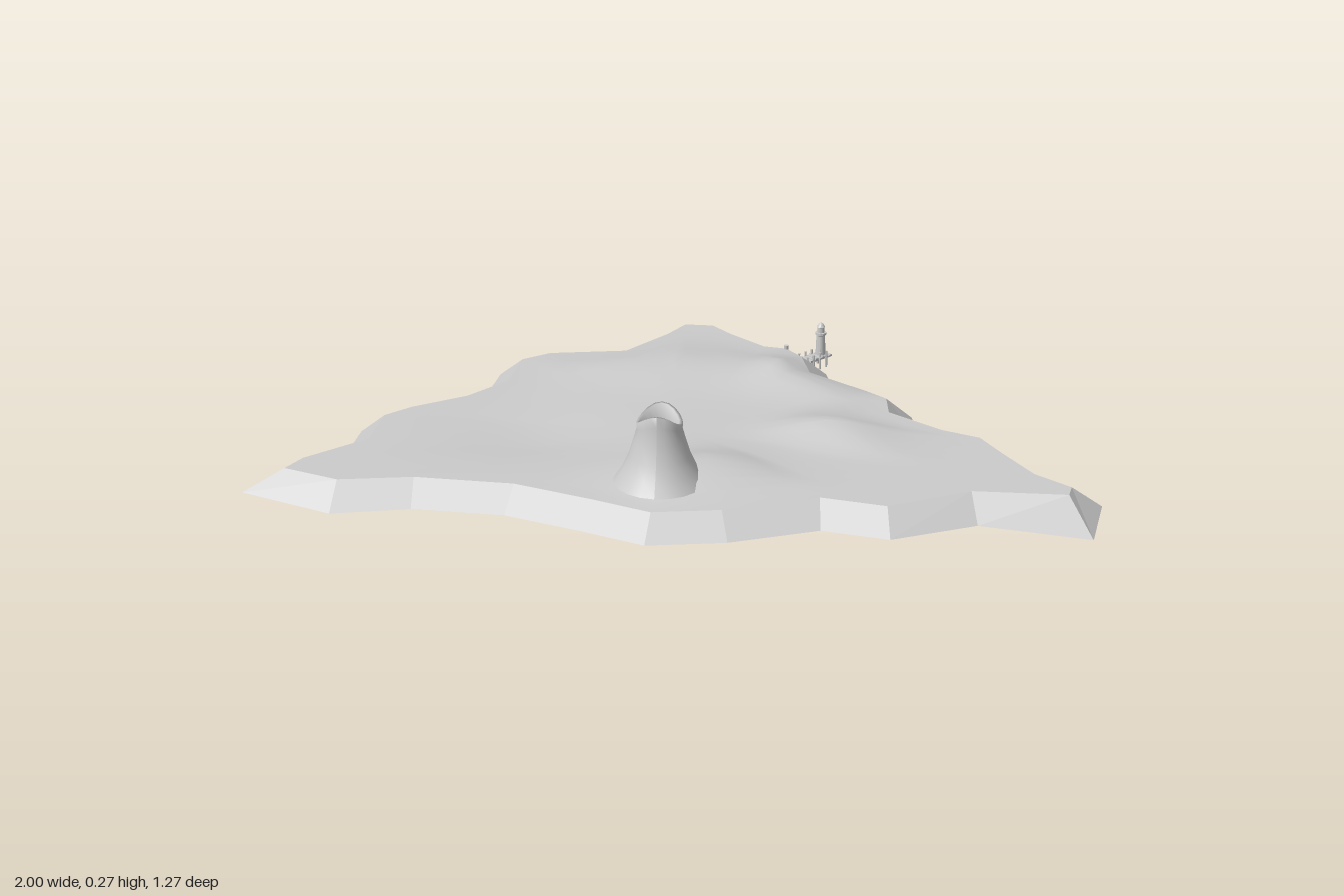
import * as THREE from 'three';

const mat = new THREE.MeshStandardMaterial({ color: 0xcccccc, side: THREE.DoubleSide });
const flatMat = new THREE.MeshStandardMaterial({ color: 0xcccccc, side: THREE.DoubleSide, flatShading: true });

// Shoreline: x, z, and height of the waterline edge
const shore = [
  [-0.11, -0.64, 0.03], [0.03, -0.64, 0.03], [0.1, -0.57, 0.02], [0.175, -0.51, 0.02],
  [0.24, -0.5, 0.02], [0.31, -0.42, 0.02], [0.335, -0.33, 0.02], [0.465, -0.24, 0.02],
  [0.54, -0.18, 0.015], [0.55, -0.1, 0.01], [0.65, -0.03, 0.015], [0.755, 0.01, 0.02],
  [0.82, 0.11, 0.015], [0.89, 0.21, 0.02], [1, 0.29, 0.02], [0.98, 0.43, 0],
  [0.715, 0.435, 0.025], [0.52, 0.54, 0.03], [0.36, 0.51, 0.03], [0.155, 0.595, 0.03],
  [-0.03, 0.63, 0.03], [-0.19, 0.57, 0.03], [-0.37, 0.51, 0.03], [-0.59, 0.5, 0.03],
  [-0.775, 0.535, 0.025], [-1, 0.455, 0.03], [-0.93, 0.315, 0.025], [-0.81, 0.2, 0.02],
  [-0.8, 0.06, 0.02], [-0.72, -0.02, 0.015], [-0.6, -0.1, 0.02], [-0.535, -0.18, 0.02],
  [-0.52, -0.33, 0.02], [-0.42, -0.405, 0.025], [-0.24, -0.44, 0.025], [-0.165, -0.54, 0.03],
].map(([x, z, y]) => new THREE.Vector3(x, y, z));

// Hills: x, z, height, radius in x, radius in z
const hills = [
  [0.08, 0.37, 0.055, 0.13, 0.12], [0.36, 0.08, 0.038, 0.12, 0.09],
  [0.27, -0.26, 0.042, 0.13, 0.12], [-0.1, -0.28, 0.025, 0.25, 0.12],
  [-0.35, 0.15, -0.015, 0.2, 0.15],
];
const hillHeight = (x, z) => hills.reduce((sum, [hx, hz, h, rx, rz]) =>
  sum + h * Math.exp(-(((x - hx) / rx) ** 2) - ((z - hz) / rz) ** 2), 0);

// Top edge of the bank: the shoreline moved inward
function insetLoop(loop, d) {
  const n = loop.length;
  const normal = (a, b) => new THREE.Vector3(b.z - a.z, 0, a.x - b.x).normalize();
  return loop.map((p, i) => {
    const n1 = normal(loop[(i + n - 1) % n], p), n2 = normal(p, loop[(i + 1) % n]);
    const k = d / Math.max(0.8, 1 + n1.dot(n2));
    return new THREE.Vector3(p.x, 0.08, p.z).addScaledVector(n1.add(n2), -k);
  });
}

// Skin joining a list of closed loops, facing up and outward
function loft(loops) {
  const n = loops[0].length, index = [];
  for (let r = 0; r + 1 < loops.length; r++) {
    for (let i = 0; i < n; i++) {
      const a = r * n + i, b = r * n + ((i + 1) % n);
      index.push(a, a + n, b, b, a + n, b + n);
    }
  }
  const geo = new THREE.BufferGeometry().setFromPoints(loops.flat());
  geo.setIndex(index);
  geo.computeVertexNormals();
  return geo;
}

function add(parent, name, geo, x = 0, y = 0, z = 0, material = mat) {
  const mesh = new THREE.Mesh(geo, material);
  mesh.name = name;
  mesh.position.set(x, y, z);
  parent.add(mesh);
  return mesh;
}

function createIsland() {
  const island = new THREE.Group();
  island.name = 'island';
  const edge = insetLoop(shore, 0.068);
  add(island, 'bank', loft([shore, edge]), 0, 0, 0, flatMat);

  const rings = [], count = 14;
  for (let r = 0; r <= count; r++) {
    const t = r / count;
    rings.push(edge.map((p) => {
      const x = p.x * (1 - t), z = p.z + (0.1 - p.z) * t;
      return new THREE.Vector3(x, 0.08 + hillHeight(x, z) * Math.min(1, t * 5), z);
    }));
  }
  add(island, 'ground', loft(rings));
  return island;
}

function createVolcano() {
  const profile = [[0.108, 0.095], [0.088, 0.125], [0.072, 0.16], [0.06, 0.2], [0.053, 0.235],
    [0.054, 0.255], [0.046, 0.255], [0.04, 0.225], [0.034, 0.19], [0, 0.185]];
  const geo = new THREE.LatheGeometry(profile.map(([r, y]) => new THREE.Vector2(r, y)), 20);
  // The crater lip rises toward front and back
  const pos = geo.attributes.position;
  for (let i = 0; i < pos.count; i++) {
    const x = pos.getX(i), y = pos.getY(i), z = pos.getZ(i);
    const lift = Math.max(0, (y - 0.2) / 0.055);
    pos.setY(i, y + lift * (0.016 * Math.cos(2 * Math.atan2(x, z)) + 0.05 * z));
  }
  geo.computeVertexNormals();
  const volcano = add(new THREE.Group(), 'volcano', geo, -0.02, 0, 0.415);
  return volcano;
}

function createJetty() {
  const jetty = new THREE.Group();
  jetty.name = 'jetty';
  // Planks run out along local z, with a pile at both ends of every other plank
  for (let i = 0; i < 10; i++) {
    const z = -0.05 + i * 0.011;
    const width = i % 3 === 0 ? 0.042 : 0.034;
    add(jetty, 'plank', new THREE.BoxGeometry(width, 0.005, 0.008), 0, 0.045, z);
    if (i % 2) continue;
    for (const side of [-1, 1]) {
      add(jetty, 'pile', new THREE.CylinderGeometry(0.003, 0.003, 0.045, 6), side * 0.016, 0.037, z);
    }
  }
  for (const side of [-1, 1]) {
    add(jetty, 'beam', new THREE.BoxGeometry(0.004, 0.005, 0.11), side * 0.011, 0.04, 0);
  }
  jetty.position.set(0.268, 0, -0.466);
  jetty.rotation.y = Math.atan2(0.075, -0.08);
  return jetty;
}

function createLighthouse() {
  const profile = [[0, 0.045], [0.013, 0.045], [0.011, 0.1], [0.014, 0.102], [0.014, 0.108],
    [0.009, 0.108], [0.009, 0.122], [0.011, 0.123], [0.006, 0.131], [0, 0.135]];
  const geo = new THREE.LatheGeometry(profile.map(([r, y]) => new THREE.Vector2(r, y)), 12);
  return add(new THREE.Group(), 'lighthouse', geo, 0.29, 0, -0.49, flatMat);
}

export function createModel() {
  const model = new THREE.Group();
  model.name = 'volcanicIsland';
  model.add(createIsland(), createVolcano(), createJetty(), createLighthouse());
  // Small post on the shore beside the jetty
  add(model, 'mooringPost', new THREE.CylinderGeometry(0.006, 0.006, 0.04, 8), 0.205, 0.07, -0.435);
  return model;
}
